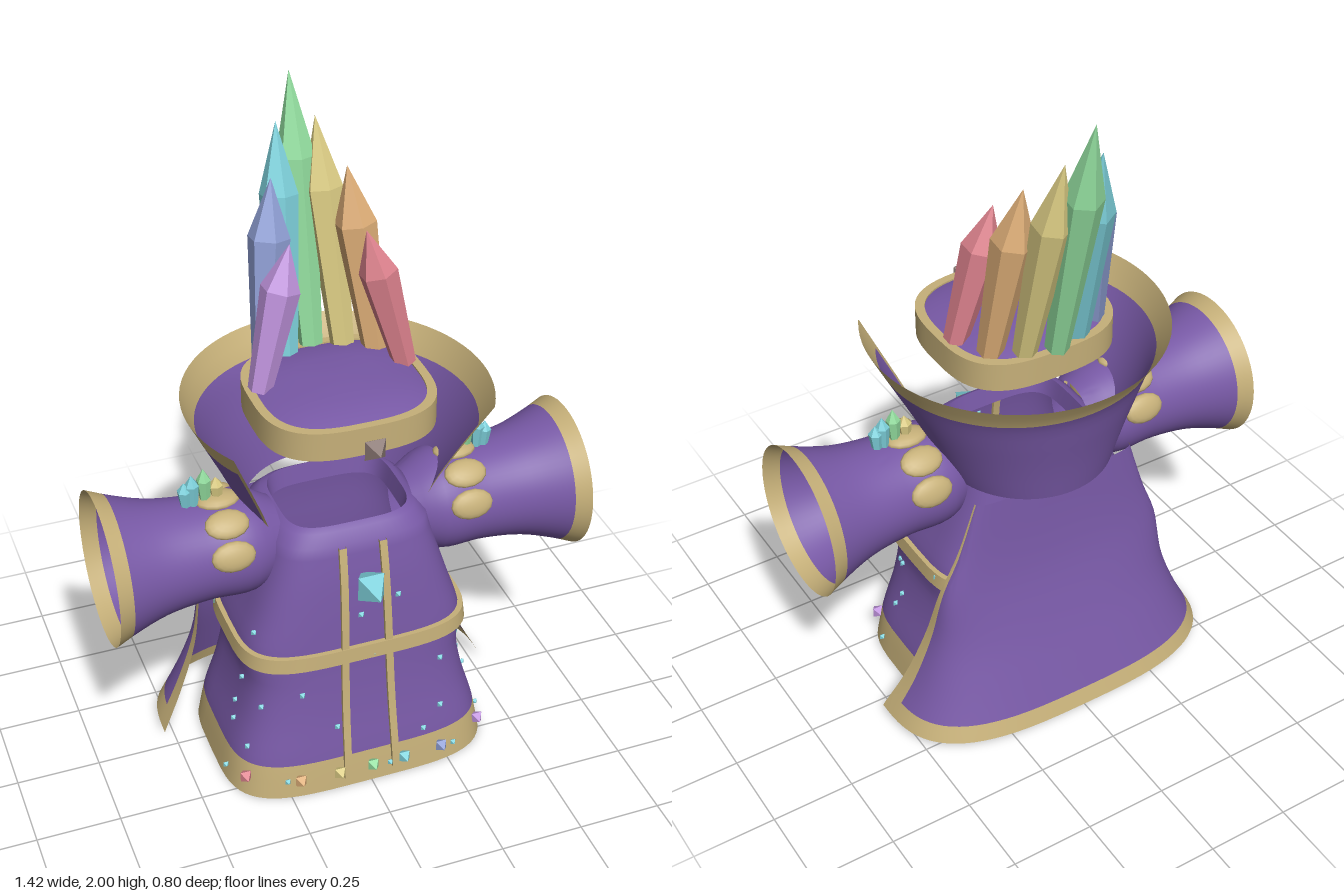
import * as THREE from 'three';
import { toCreasedNormals } from 'three/addons/utils/BufferGeometryUtils.js';

const V = (x, y, z) => new THREE.Vector3(x, y, z);

// smooth interpolation through rows of [key, ...values]
function track(rows) {
  const n = rows[0].length - 1;
  const curve = new THREE.CubicInterpolant(rows.map(r => r[0]), rows.flatMap(r => r.slice(1)), n);
  return k => Array.from(curve.evaluate(k));
}
const steps = (a, b, n) => Array.from({ length: n + 1 }, (_, i) => a + (b - a) * i / n);
const spow = (v, p) => Math.sign(v) * Math.abs(v) ** p;

// rounded-square point: half width w, from zb to zf, squareness n
function squircle(a, y, w, zf, zb, n) {
  return V(w * spow(Math.cos(a), 2 / n), y, (zf + zb) / 2 + (zf - zb) / 2 * spow(Math.sin(a), 2 / n));
}

// skin over rings of points; pick(row, column) returns a material index
function loft(rings, closed, pick = () => 0) {
  const n = rings[0].length, pos = rings.flat().flatMap(p => [p.x, p.y, p.z]);
  const faces = [[], []];
  for (let i = 0; i < rings.length - 1; i++)
    for (let j = 0; j < (closed ? n : n - 1); j++) {
      const a = i * n + j, b = i * n + (j + 1) % n, c = a + n, d = b + n;
      faces[pick(i, j)].push(a, c, b, b, c, d);
    }
  const g = new THREE.BufferGeometry();
  g.setAttribute('position', new THREE.Float32BufferAttribute(pos, 3));
  g.setIndex(faces.flat());
  g.addGroup(0, faces[0].length, 0);
  g.addGroup(faces[0].length, faces[1].length, 1);
  return toCreasedNormals(g, 0.7);
}

export function createModel() {
  const root = new THREE.Group();
  const colours = {
    purpleCloth: 0x7859a6, goldTrim: 0xc6b079, redCrystal: 0xdb818c, orangeCrystal: 0xdbac76,
    yellowCrystal: 0xdacb83, greenCrystal: 0x92dc9e, tealCrystal: 0x7dd0da, blueCrystal: 0x8f9fd4,
    violetCrystal: 0xbf93dc, brownGem: 0x877570,
  };
  const M = {};
  for (const [name, color] of Object.entries(colours)) {
    const cloth = name === 'purpleCloth' || name === 'goldTrim';
    M[name] = new THREE.MeshStandardMaterial({ color, flatShading: !cloth, side: cloth ? THREE.DoubleSide : THREE.FrontSide });
    M[name].name = name;
  }
  const cloth = [M.purpleCloth, M.goldTrim];
  const add = (name, geo, mat, parent = root) => {
    const m = new THREE.Mesh(geo, mat);
    m.name = name;
    parent.add(m);
    return m;
  };
  const turn = steps(0, Math.PI * 2, 64).slice(0, -1);

  // robe: height -> half width, front z, back z
  const robe = track([[0, 0.412, 0.353, -0.24], [0.11, 0.392, 0.34, -0.225], [0.25, 0.352, 0.318, -0.2],
    [0.36, 0.334, 0.305, -0.185], [0.46, 0.342, 0.297, -0.18], [0.6, 0.3, 0.285, -0.17],
    [0.72, 0.262, 0.27, -0.165], [0.82, 0.235, 0.25, -0.155]]);
  const robeRing = (y, grow = 0) => {
    const [w, f, b] = robe(y);
    return turn.map(a => squircle(a, y, w + grow, f + grow, b - grow, 4));
  };
  const robeFront = (x, y) => {
    const [w, f, b] = robe(y);
    return (f + b) / 2 + (f - b) / 2 * Math.max(0, 1 - Math.abs(x / w) ** 4) ** 0.25;
  };
  const neck = [[0.85, 0.205, 0.222, -0.13], [0.86, 0.185, 0.205, -0.115], [0.8, 0.175, 0.195, -0.105]]
    .map(([y, w, f, b]) => turn.map(a => squircle(a, y, w, f, b, 4)));
  const robeYs = [0, 0.055, 0.11, ...steps(0.14, 0.82, 20)];
  add('robe', loft([...robeYs.map(y => robeRing(y)), ...neck], true, i => (i < 2 ? 1 : 0)), cloth);
  add('belt', loft([[0.44, 0], [0.44, 0.014], [0.487, 0.014], [0.487, 0]].map(([y, g]) => robeRing(y, g)), true), M.goldTrim);

  // two upright trims on the robe front
  for (const s of [-1, 1]) {
    const rows = steps(0.035, 0.815, 24).map(y => {
      const x = s * (0.077 - 0.02 * y);
      return [[-0.011, -0.01], [-0.011, 0.011], [0.011, 0.011], [0.011, -0.01]]
        .map(([dx, dz]) => V(x + dx, y, robeFront(x + dx, y) + dz));
    });
    add('frontTrim', loft(rows, true), M.goldTrim);
  }

  // cape: height -> half width, edge z, back z
  const cape = track([[0.02, 0.53, -0.04, -0.36], [0.15, 0.462, -0.07, -0.315], [0.3, 0.405, -0.095, -0.265],
    [0.48, 0.368, -0.13, -0.218], [0.6, 0.32, -0.145, -0.2], [0.78, 0.262, -0.155, -0.185]]);
  const capeYs = [0.02, 0.045, 0.07, ...steps(0.1, 0.78, 18)];
  const capeAs = [0, 0.025, 0.08, ...steps(0.14, Math.PI - 0.14, 36), Math.PI - 0.08, Math.PI - 0.025, Math.PI];
  const capeRows = capeYs.map(y => {
    const [w, e, b] = cape(y);
    return capeAs.map(a => squircle(-a, y, w, 2 * e - b, b, 3));
  });
  add('cape', loft(capeRows, false, (i, j) => (i < 2 || j < 2 || j > capeAs.length - 4 ? 1 : 0)), cloth);

  // tall collar, open at the front: height -> half width, half depth, centre z
  const collar = track([[0.79, 0.255, 0.262, 0], [0.9, 0.298, 0.295, 0.01], [1.0, 0.343, 0.335, 0.025],
    [1.12, 0.4, 0.39, 0.045], [1.2, 0.438, 0.445, 0.05]]);
  const collarYs = [...steps(0.79, 1.12, 10), 1.16, 1.2];
  const open = 0.54, collarAs = [open, open - 0.04, ...steps(open - 0.1, -Math.PI - open + 0.1, 48), -Math.PI - open + 0.04, -Math.PI - open];
  const collarRows = collarYs.map(y => {
    const [w, d, c] = collar(y);
    return collarAs.map(a => squircle(a, y, w, c + d, c - d, 2));
  });
  add('collar', loft(collarRows, false, (i, j) => (i > 9 || j < 1 || j > collarAs.length - 3 ? 1 : 0)), cloth);

  // floating hat: band and shallow crown
  const hatRing = (k, y) => turn.map(a => squircle(a, y, 0.256 * k, 0.057 + 0.24 * k, 0.057 - 0.24 * k, 3));
  add('hatBand', loft([[0.9, 1.145], [1, 1.145], [1, 1.232], [0.9, 1.232], [0.9, 1.145]].map(r => hatRing(...r)), true), M.goldTrim);
  add('hatCrown', loft([[0.92, 1.225], [0.75, 1.24], [0.45, 1.25], [0.01, 1.254]].map(r => hatRing(...r)), true), M.purpleCloth);

  // six-sided pointed crystal from base to tip
  function crystal(name, mat, base, tip, r) {
    const h = base.distanceTo(tip);
    const prof = [[0, 0], [r * 0.62, 0.01 * h], [r, 0.7 * h], [0, h]].map(p => new THREE.Vector2(...p));
    const m = add(name, new THREE.LatheGeometry(prof, 6), mat);
    m.position.copy(base);
    m.quaternion.setFromUnitVectors(V(0, 1, 0), tip.clone().sub(base).normalize());
  }
  const sizes = [
    [0.215, 0.015, 0.11, 1.645, -0.02, 0.056], [0.165, -0.085, 0.11, 1.77, -0.17, 0.06],
    [0.085, -0.135, 0.057, 1.88, -0.28, 0.056], [0, -0.165, 0, 2, -0.33, 0.056],
  ];
  const rainbow = [M.redCrystal, M.orangeCrystal, M.yellowCrystal, M.greenCrystal, M.tealCrystal, M.blueCrystal, M.violetCrystal];
  rainbow.forEach((mat, i) => {
    const s = i > 3 ? -1 : 1, [bx, bz, tx, ty, tz, r] = sizes[i > 3 ? 6 - i : i];
    crystal('hatCrystal', mat, V(s * bx, 1.225, bz), V(s * tx, ty, tz), r);
  });

  // flared sleeves with gold cuffs, shoulder knobs and clasps
  const flare = track([[0.2, 0.11], [0.28, 0.15], [0.42, 0.152], [0.55, 0.168], [0.65, 0.2], [0.71, 0.225]]);
  const sleeveXs = [...steps(0.2, 0.664, 16), 0.688, 0.71];
  for (const s of [-1, 1]) {
    const rings = sleeveXs.map(x => turn.map(a => V(s * x, 0.77 + flare(x)[0] * Math.cos(a), 0.055 + flare(x)[0] * Math.sin(a))));
    add('sleeve', loft(rings, true, i => (i > 15 ? 1 : 0)), cloth);
    const knob = add('shoulderKnob', new THREE.SphereGeometry(1, 20, 14), M.goldTrim);
    knob.scale.set(0.045, 0.065, 0.122);
    knob.position.set(s * 0.275, 0.815, 0.055);
    for (const deg of [-70, -35, 0, 35, 70]) {
      const a = deg * Math.PI / 180;
      const lump = add('shoulderClasp', new THREE.SphereGeometry(1, 14, 10), M.goldTrim);
      lump.scale.set(0.065, 0.022, 0.045);
      lump.position.set(s * 0.36, 0.77 + 0.152 * Math.cos(a), 0.055 + 0.152 * Math.sin(a));
      lump.rotation.x = a;
    }
    [['yellowCrystal', 0.36, 1.0], ['greenCrystal', 0.395, 1.035], ['tealCrystal', 0.43, 1.02], ['tealCrystal', 0.452, 1.0]]
      .forEach(([m, x, y]) => crystal('shoulderCrystal', M[m], V(s * x, 0.91, 0.055), V(s * (x + 0.004), y, 0.055), 0.021));
  }

  // square-cut gems, pointing forward
  function gem(name, mat, x, y, z, r, depth) {
    const g = new THREE.OctahedronGeometry(1).rotateZ(Math.PI / 4);
    const m = add(name, g, mat);
    m.scale.set(r * 1.41, r * 1.41, depth);
    m.position.set(x, y, z);
  }
  gem('chestGem', M.tealCrystal, 0, 0.712, 0.325, 0.039, 0.075);
  gem('hatGem', M.brownGem, 0, 1.187, 0.34, 0.03, 0.042);
  [-0.372, -0.225, -0.105, 0, 0.1, 0.222, 0.372].forEach((x, i) =>
    gem('hemGem', rainbow[i], x, 0.07, robeFront(x, 0.07) + 0.018, 0.016, 0.026));

  // scattered small studs on the robe front and sides
  const studs = [[0.1, 0.63], [-0.015, 0.59], [-0.1, 0.22], [0.02, 0.45], [0.235, 0.36], [-0.22, 0.45], [0.17, 0.14],
    [0.06, 0.05], [-0.2, 0.35], [0.23, 0.2], [-0.26, 0.06], [0.27, 0.05], [-0.31, 0.3], [-0.355, 0.16], [0.33, 0.35], [-0.31, 0.54]];
  for (const [x, y] of studs) gem('stud', M.tealCrystal, x, y, robeFront(x, y) + 0.004, 0.008, 0.012);
  for (const s of [-1, 1])
    for (const [z, y] of [[0.16, 0.35], [0.14, 0.25], [0.16, 0.2], [0.19, 0.05], [-0.06, 0.47]])
      gem('sideStud', M.tealCrystal, s * (robe(y)[0] + 0.002), y, z, 0.008, 0.01);

  return root;
}
